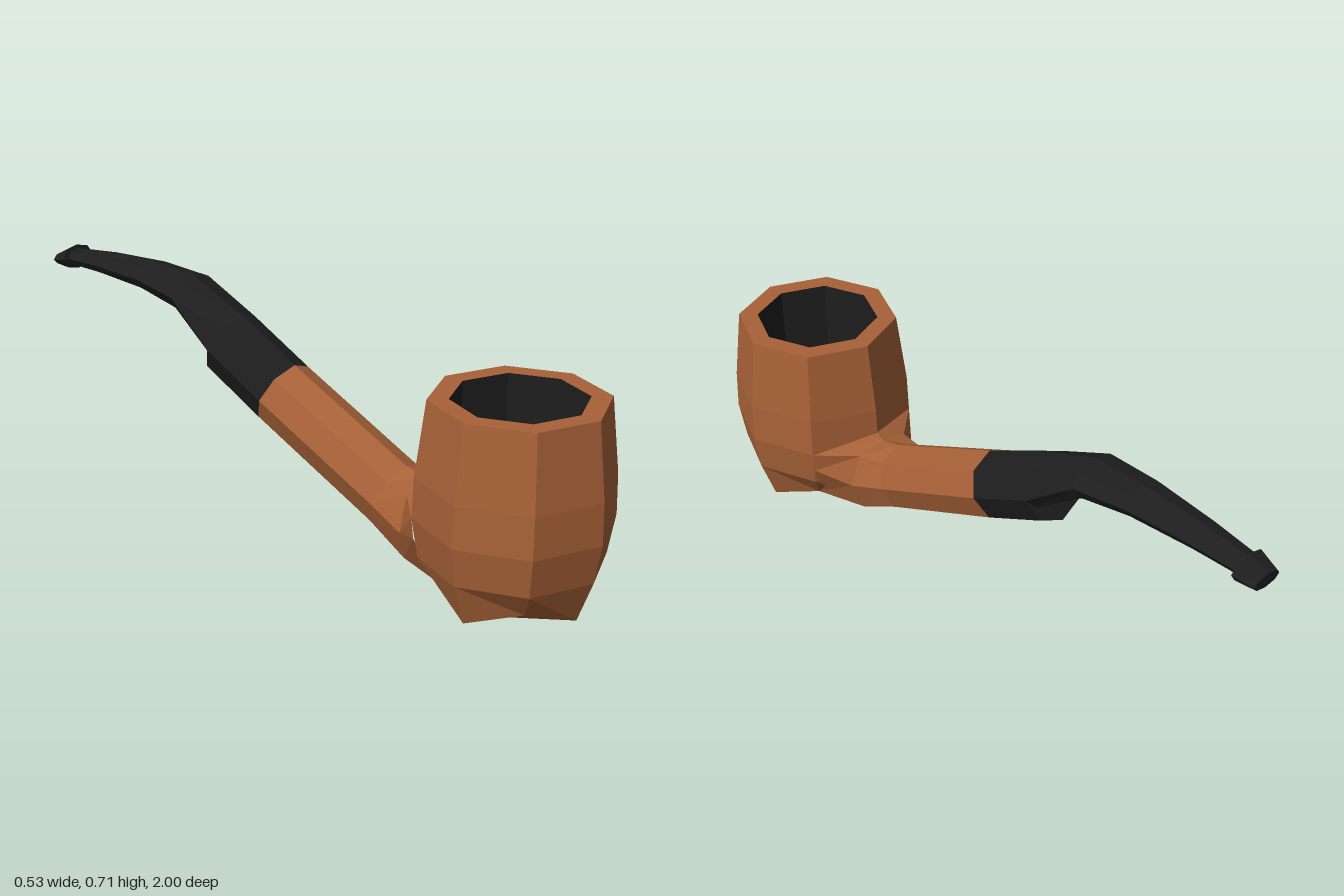
import * as THREE from 'three';

const SIDES = 8;
const wood = new THREE.MeshStandardMaterial({ color: 0xa86238, flatShading: true });
const black = new THREE.MeshStandardMaterial({ color: 0x1e1e1e, flatShading: true });

// Skin a list of eight-point rings
function loft(name, rings, material) {
  const pos = [];
  const tri = (a, b, c) => {
    const n = b.clone().sub(a).cross(c.clone().sub(a));
    if (n.lengthSq() > 1e-14) for (const p of [a, b, c]) pos.push(p.x, p.y, p.z);
  };
  for (let i = 0; i < rings.length - 1; i++) {
    for (let k = 0; k < SIDES; k++) {
      const n = (k + 1) % SIDES;
      const a = rings[i][k], b = rings[i][n], c = rings[i + 1][k], d = rings[i + 1][n];
      tri(a, b, c);
      tri(b, d, c);
    }
  }
  const geo = new THREE.BufferGeometry();
  geo.setAttribute('position', new THREE.Float32BufferAttribute(pos, 3));
  geo.computeVertexNormals();
  const mesh = new THREE.Mesh(geo, material);
  mesh.name = name;
  return mesh;
}

const makeRing = (fn) => Array.from({ length: SIDES }, (_, k) => fn((k * Math.PI * 2) / SIDES, k));

// Level ring of the bowl
const bowlRing = (y, r) =>
  makeRing((a) => new THREE.Vector3(r * Math.sin(a), y, 0.73 + r * Math.cos(a)));

// Tilted ring of the shank and stem, with separate upper and lower half heights
const stemRing = (z, y, deg, w, up = w, down = up) => {
  const t = THREE.MathUtils.degToRad(deg);
  return makeRing((a) => {
    const v = Math.cos(a) * (Math.cos(a) > 0 ? up : down);
    return new THREE.Vector3(w * Math.sin(a), y + v * Math.cos(t), z + v * Math.sin(t));
  });
};

// Mirrored ring from five points running from top to bottom on the +x side
const mirroredRing = (pts) =>
  makeRing((a, k) => {
    const [x, y, z] = pts[k <= 4 ? k : SIDES - k];
    return new THREE.Vector3(k <= 4 ? x : -x, y, z);
  });

export function createModel() {
  const pipe = new THREE.Group();
  pipe.name = 'pipe';

  // Bowl: faceted base with raised diagonal corners, belly and rim
  const base = makeRing((a, k) => {
    const diagonal = k % 2 === 1;
    const r = diagonal ? 0.194 : 0.205;
    const y = diagonal ? 0.11 : k === 4 ? 0.045 : 0.065;
    return new THREE.Vector3(r * Math.sin(a), y, 0.73 + r * Math.cos(a));
  });
  pipe.add(loft('bowl', [
    bowlRing(0, 0), base, bowlRing(0.185, 0.248), bowlRing(0.295, 0.266),
    bowlRing(0.41, 0.262), bowlRing(0.62, 0.236), bowlRing(0.62, 0.18),
  ], wood));

  // Charred chamber wall and its wooden floor
  pipe.add(loft('chamberWall', [bowlRing(0.62, 0.18), bowlRing(0.2, 0.172)], black));
  pipe.add(loft('chamberFloor', [bowlRing(0.2, 0.172), bowlRing(0.1, 0)], wood));

  // Shank: flares into the back of the bowl
  const bowlEnd = mirroredRing([
    [0, 0.335, 0.475], [0.188, 0.295, 0.542], [0.182, 0.235, 0.545],
    [0.137, 0.11, 0.593], [0, 0.045, 0.53],
  ]);
  const neck = mirroredRing([
    [0, 0.315, 0.44], [0.085, 0.295, 0.445], [0.12, 0.2, 0.45],
    [0.085, 0.11, 0.44], [0, 0.08, 0.44],
  ]);
  const joint = stemRing(-0.075, 0.433, 26, 0.1);
  pipe.add(loft('shank', [bowlEnd, neck, stemRing(0.335, 0.24, 22, 0.1), joint], wood));

  // Collar: closed at the step below the stem
  pipe.add(loft('collar', [
    joint, stemRing(-0.278, 0.537, 26, 0.1), stemRing(-0.278, 0.537, 26, 0),
  ], black));

  // Curved stem tapering to the flared bit
  pipe.add(loft('stem', [
    stemRing(-0.278, 0.537, 26, 0.1, 0.1, 0.045),
    stemRing(-0.435, 0.654, 14, 0.085, 0.053),
    stemRing(-0.6, 0.673, 1, 0.07, 0.042),
    stemRing(-0.8, 0.672, -2, 0.052, 0.033),
    stemRing(-0.94, 0.664, -4, 0.04, 0.026),
  ], black));
  pipe.add(loft('bit', [
    stemRing(-0.935, 0.664, -4, 0.035, 0.02),
    stemRing(-0.94, 0.664, -4, 0.06, 0.037),
    stemRing(-1, 0.651, -2, 0.047, 0.02),
    stemRing(-1, 0.651, -2, 0),
  ], black));

  return pipe;
}
